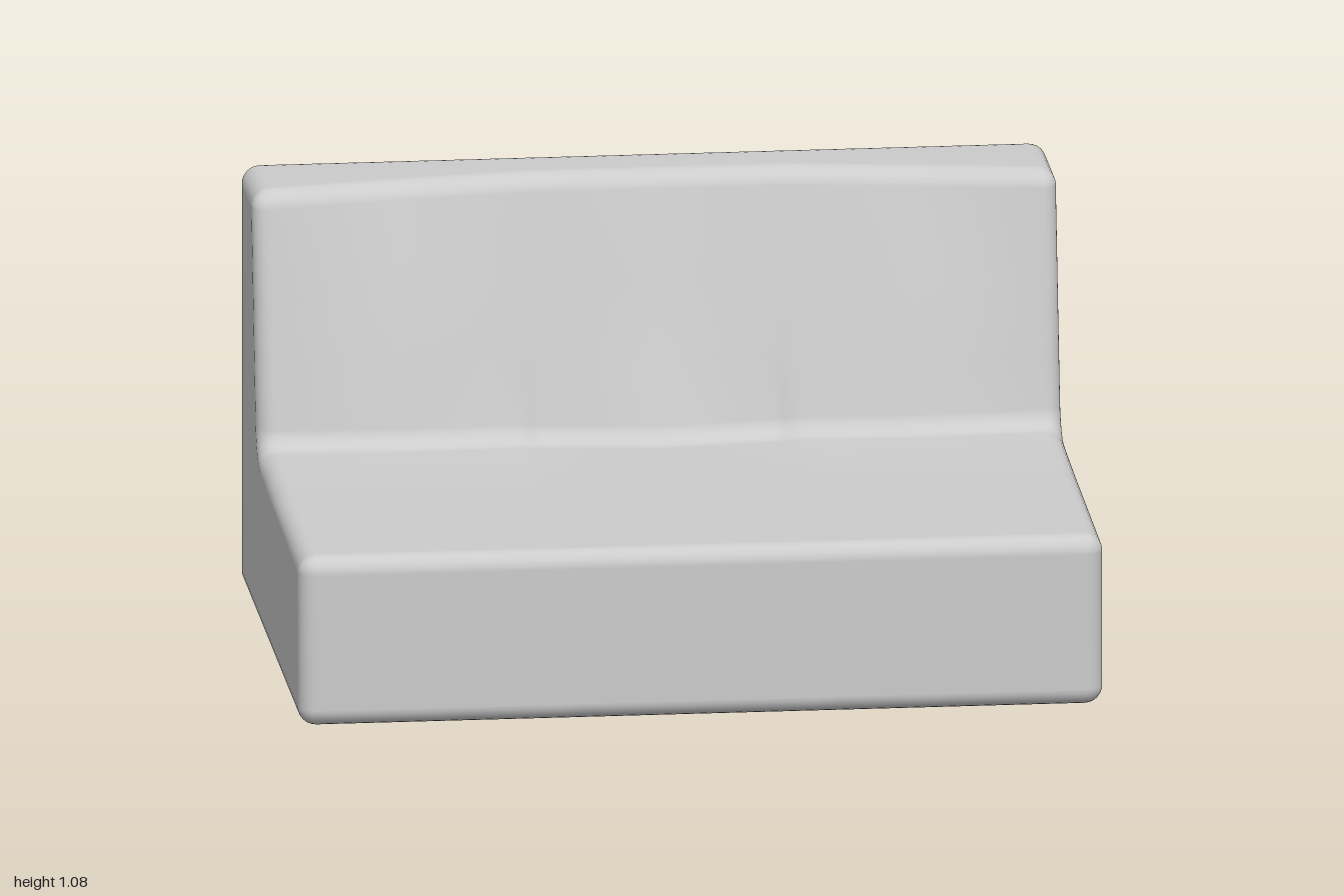
import * as THREE from 'three';

const R = 0.045; // edge rounding

// Half-width stations: x, crease z, mid-back z, top-front z, mid-seat y, rear-seat y
const KEYS = [
  [0.00, -0.285, -0.385, -0.495, 0.440, 0.437],
  [0.29, -0.325, -0.395, -0.495, 0.428, 0.437],
  [0.35, -0.300, -0.385, -0.490, 0.430, 0.447],
  [0.65, -0.255, -0.330, -0.450, 0.443, 0.456],
  [1.00, -0.275, -0.325, -0.390, 0.446, 0.456],
];

function stationAt(x) {
  const a = Math.min(Math.abs(x), 1);
  let i = 0;
  while (i < KEYS.length - 2 && a > KEYS[i + 1][0]) i++;
  const t = (a - KEYS[i][0]) / (KEYS[i + 1][0] - KEYS[i][0]);
  return KEYS[i].map((v, k) => v + (KEYS[i + 1][k] - v) * t);
}

// Rounded side profile at x, shrunk inwards by d; u = -z, v = y
function profile(x, d) {
  const [, crease, mid, top, seatMid, seatRear] = stationAt(x);
  const corners = [ // z, y, rounding length, concave?
    [0.69, 0, R], [0.69, 0.434, R], [0, seatMid, 0.12],
    [crease, seatRear, 0.045, true], [mid, 0.72, 0.09],
    [top, 1.08, R], [-0.69, 1.08, R], [-0.69, 0, R],
  ];
  const n = corners.length;
  const p = corners.map(([z, y]) => new THREE.Vector2(-z, y));
  const normals = p.map((a, i) => {
    const e = p[(i + 1) % n].clone().sub(a).normalize();
    return new THREE.Vector2(e.y, -e.x);
  });
  const q = p.map((a, i) => {
    const n1 = normals[(i + n - 1) % n], n2 = normals[i];
    return a.clone().addScaledVector(n1.clone().add(n2), d / (1 + n1.dot(n2)));
  });
  const out = [];
  q.forEach((c, i) => {
    const [, , len, concave] = corners[i];
    const t = concave ? len + d : Math.max(len - d, 0.003);
    const toward = (o) => o.clone().sub(c).normalize().multiplyScalar(t).add(c);
    const a = toward(q[(i + n - 1) % n]), b = toward(q[(i + 1) % n]);
    const curve = new THREE.CubicBezierCurve(a, a.clone().lerp(c, 0.55), b.clone().lerp(c, 0.55), b);
    out.push(...curve.getPoints(6));
  });
  return out;
}

function sofaGeometry() {
  // Sections along x, with rounded ends
  const sections = [];
  const steps = 6;
  for (let i = 0; i <= steps; i++) {
    const a = (i / steps) * Math.PI / 2;
    sections.push([-1 + R * (1 - Math.sin(a)), R * (1 - Math.cos(a))]);
  }
  sections.reverse();
  sections.forEach((s) => { s[0] = -s[0]; });
  const half = sections.map(([x, d]) => [x, d]).sort((a, b) => a[0] - b[0]);
  const inner = [0.9, 0.82, 0.74, 0.65, 0.58, 0.5, 0.42, 0.35, 0.32, 0.29, 0.22, 0.15, 0.07];
  const right = [...inner.map((x) => [x, 0]).reverse(), ...half];
  const all = [...right.map(([x, d]) => [-x, d]).reverse(), [0, 0], ...right];

  const positions = [], index = [];
  const rings = all.map(([x, d]) => profile(x, d));
  const m = rings[0].length;
  rings.forEach((ring, s) => ring.forEach((p) => positions.push(all[s][0], p.y, -p.x)));
  for (let s = 0; s < rings.length - 1; s++) {
    for (let i = 0; i < m; i++) {
      const a = s * m + i, b = s * m + (i + 1) % m;
      index.push(a, a + m, b, b, a + m, b + m);
    }
  }

  // Flat end caps
  const last = rings.length - 1;
  const ring = rings[last];
  for (const [i, j, k] of THREE.ShapeUtils.triangulateShape(ring, [])) {
    const ccw = ring[j].clone().sub(ring[i]).cross(ring[k].clone().sub(ring[i])) > 0;
    const [b, c] = ccw ? [j, k] : [k, j];
    const o = last * m;
    index.push(o + i, o + b, o + c, i, c, b);
  }

  const g = new THREE.BufferGeometry();
  g.setAttribute('position', new THREE.Float32BufferAttribute(positions, 3));
  g.setIndex(index);
  g.computeVertexNormals();
  return g;
}

export function createModel() {
  const group = new THREE.Group();
  group.name = 'sofa';
  // Seat and backrest are one continuous soft block
  const body = new THREE.Mesh(sofaGeometry(), new THREE.MeshStandardMaterial({ color: 0xcccccc }));
  body.name = 'seatAndBackrest';
  group.add(body);
  return group;
}
